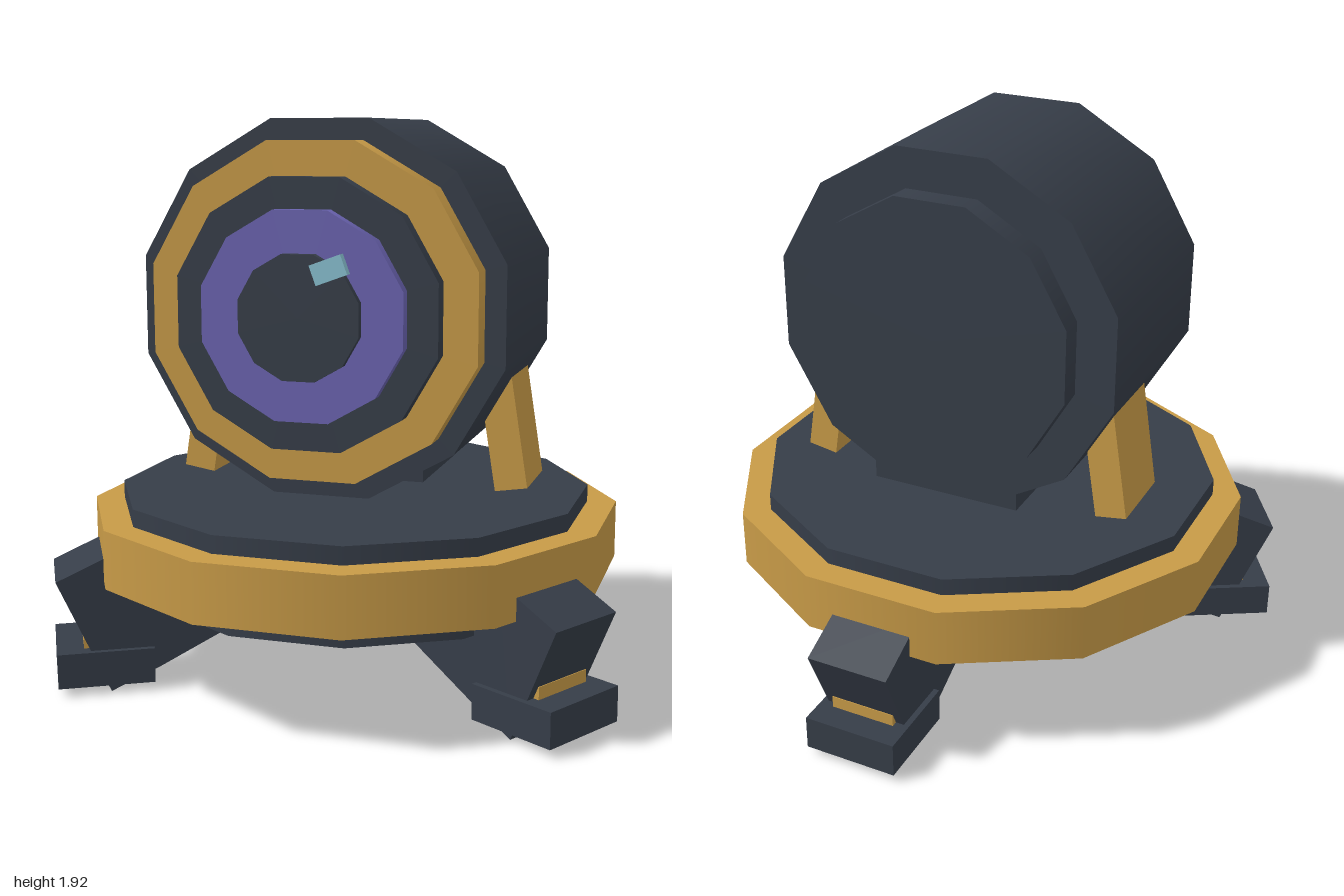
import * as THREE from 'three';

const material = (name, color) => {
  const m = new THREE.MeshStandardMaterial({ color });
  m.name = name;
  return m;
};

export function createModel() {
  const dark = material('dark slate', 0x363d48);
  const gold = material('gold', 0xc79a47);
  const purple = material('purple', 0x6a63b0);
  const blue = material('pale blue', 0x88bfd0);

  const model = new THREE.Group();
  model.name = 'eyeTurret';
  const baseZ = 0.08;
  const eyeY = 1.306;

  const add = (parent, name, geometry, mat, x = 0, y = 0, z = 0) => {
    const mesh = new THREE.Mesh(geometry, mat);
    mesh.name = name;
    mesh.position.set(x, y, z);
    parent.add(mesh);
    return mesh;
  };

  // Twelve-sided drum measured across its flats
  const drum = (apothem, height) => {
    const r = apothem / Math.cos(Math.PI / 12);
    return new THREE.CylinderGeometry(r, r, height, 12, 1, false, Math.PI / 12);
  };

  // Stacked base discs: name, apothem, bottom, top, material
  for (const [name, a, y0, y1, mat] of [
    ['baseUnderside', 0.72, 0.30, 0.40, dark],
    ['baseRing', 0.895, 0.39, 0.59, gold],
    ['baseTop', 0.797, 0.58, 0.65, dark],
  ]) add(model, name, drum(a, y1 - y0), mat, 0, (y0 + y1) / 2, baseZ);

  // Eye discs stacked along z: name, apothem, back, front, material
  const eye = new THREE.Group();
  eye.name = 'eye';
  eye.position.y = eyeY;
  model.add(eye);
  for (const [name, a, z0, z1, mat] of [
    ['backCap', 0.478, -0.365, -0.27, dark],
    ['body', 0.615, -0.28, 0.45, dark],
    ['rimRing', 0.546, 0.44, 0.54, gold],
    ['innerRing', 0.434, 0.53, 0.60, dark],
    ['iris', 0.334, 0.59, 0.642, purple],
    ['pupil', 0.199, 0.63, 0.668, dark],
  ]) add(eye, name, drum(a, z1 - z0).rotateX(Math.PI / 2), mat, 0, 0, (z0 + z1) / 2);

  // Glint on the pupil
  const glint = add(eye, 'glint', new THREE.BoxGeometry(0.108, 0.066, 0.03), blue, 0.108, 0.155, 0.677);
  glint.rotation.z = 0.35;

  // Block under the body
  add(model, 'neck', new THREE.BoxGeometry(0.55, 0.07, 0.45), dark, 0, 0.725, -0.055);

  // Leaning side brackets
  for (const side of [-1, 1]) {
    const arm = add(model, side > 0 ? 'leftBracket' : 'rightBracket',
      new THREE.BoxGeometry(0.113, 0.39, 0.285), gold, side * 0.544, 0.868, -0.015);
    arm.rotation.z = side * 0.157;
  }

  // Three legs, drawn in profile as (distance from centre, height)
  const profile = new THREE.Shape([
    [0.88, 0], [1.055, 0.395], [0.82, 0.5], [0.56, 0.3], [0.436, 0.215], [0.713, 0.075],
  ].map(([r, y]) => new THREE.Vector2(r, y)));
  const legGeometry = new THREE.ExtrudeGeometry(profile, { depth: 0.29, bevelEnabled: false });
  legGeometry.translate(0, 0, -0.145);
  const footGeometry = new THREE.BoxGeometry(0.325, 0.12, 0.33);
  const ankleGeometry = new THREE.BoxGeometry(0.17, 0.08, 0.23);

  [['leftLeg', Math.PI / 3], ['rightLeg', -Math.PI / 3], ['backLeg', Math.PI]].forEach(([name, angle]) => {
    const leg = new THREE.Group();
    leg.name = name;
    leg.position.z = baseZ;
    leg.rotation.y = angle - Math.PI / 2;
    add(leg, 'strut', legGeometry, dark);
    add(leg, 'foot', footGeometry, dark, 0.895, 0.088, 0);
    add(leg, 'ankle', ankleGeometry, gold, 0.882, 0.15, 0);
    model.add(leg);
  });

  return model;
}
